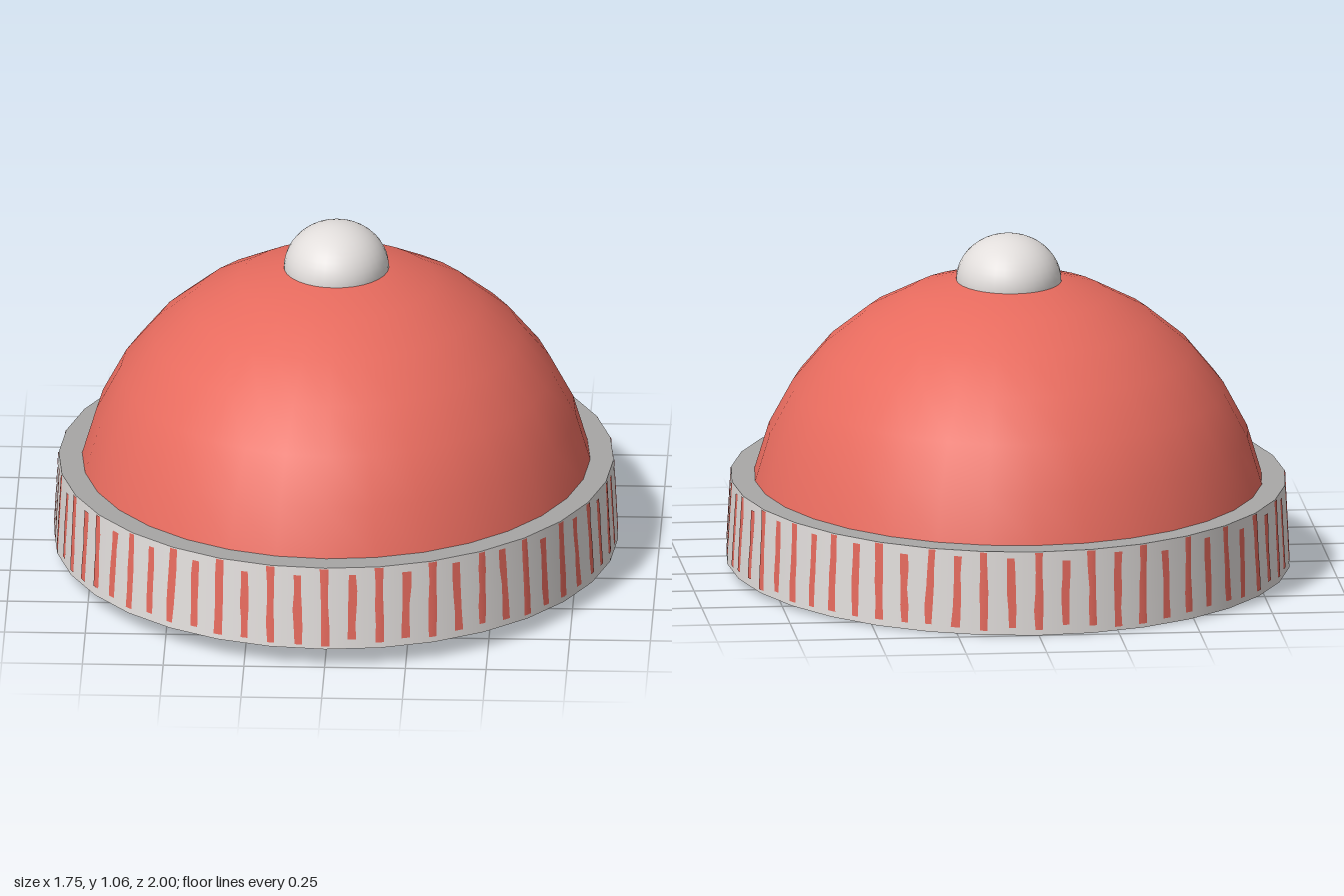
import * as THREE from 'three';

const SIDES = 32;          // facets around the hat
const STRIPES = 64;        // knitted ribs on the cuff
const DEPTH = 1.145;       // front-to-back stretch of the oval
const CUFF_H = 0.262;
const CUFF_LOW = 0.873;    // cuff radius at the bottom
const CUFF_TOP = 0.859;    // cuff radius at the top

function wool(name, color) {
  const material = new THREE.MeshStandardMaterial({ color, side: THREE.DoubleSide });
  material.name = name;
  return material;
}
const red = wool('red wool', 0xe96c5f);
const white = wool('white wool', 0xe2dedc);
const grey = wool('grey edge', 0xa8a7a6);

function lathe(name, points, material) {
  const geo = new THREE.LatheGeometry(points.map(([r, y]) => new THREE.Vector2(r, y)), SIDES);
  const mesh = new THREE.Mesh(geo, material);
  mesh.name = name;
  return mesh;
}

// Profile of a dome, from the rim up to the pole
function domeProfile(radius, centreY, steps, fromStep) {
  const pts = [];
  for (let i = fromStep; i >= 0; i--) {
    const a = (i / steps) * Math.PI / 2;
    pts.push([radius * Math.sin(a), centreY + radius * Math.cos(a)]);
  }
  return pts;
}

function seeded(seed) {
  return () => (seed = (seed * 16807) % 2147483647) / 2147483647;
}

// Point on the faceted wall at a given angle
function wallPoint(angle, radius, y) {
  const step = (Math.PI * 2) / SIDES;
  const k = Math.floor(angle / step + 1e-6);
  const t = angle / step - k;
  const a = k * step, b = a + step;
  return [
    radius * (Math.sin(a) * (1 - t) + Math.sin(b) * t), y,
    radius * (Math.cos(a) * (1 - t) + Math.cos(b) * t),
  ];
}

// Slightly wavering stripes on the outer or inner face of the cuff wall
function stripes(name, inward) {
  const rnd = seeded(71);
  const pos = [], index = [], rows = 5;
  for (let s = 0; s < STRIPES; s++) {
    const centre = (s / STRIPES) * Math.PI * 2;
    const long = s % 2 === 0;
    const low = 0.01 + rnd() * 0.02;
    const high = long ? CUFF_H - 0.003 : 0.23 + rnd() * 0.02;
    const lean = (rnd() - 0.5) * 0.018;
    const base = pos.length / 3;
    for (let j = 0; j < rows; j++) {
      const t = j / (rows - 1);
      const y = low + (high - low) * t;
      const r = CUFF_LOW + (CUFF_TOP - CUFF_LOW) * (y / CUFF_H) + (inward ? -0.002 : 0.002);
      const mid = centre + lean * (t - 0.5) + (rnd() - 0.5) * 0.004;
      const half = 0.0145 + (rnd() - 0.5) * 0.005;
      const cols = [mid - half, long ? centre : mid, mid + half];
      cols.forEach((a) => pos.push(...wallPoint(a, r, y)));
      if (j === 0) continue;
      for (let c = 0; c < 2; c++) {
        const a = base + (j - 1) * 3 + c, b = a + 1, d = a + 3, e = a + 4;
        if (inward) index.push(a, e, b, a, d, e);
        else index.push(a, b, e, a, e, d);
      }
    }
  }
  const geo = new THREE.BufferGeometry();
  geo.setAttribute('position', new THREE.Float32BufferAttribute(pos, 3));
  geo.setIndex(index);
  geo.computeVertexNormals();
  const mesh = new THREE.Mesh(geo, red);
  mesh.name = name;
  return mesh;
}

export function createModel() {
  const model = new THREE.Group();
  model.name = 'knittedHat';
  const hat = new THREE.Group();
  hat.name = 'tiltedHat';
  hat.scale.z = DEPTH;
  hat.rotation.x = -0.03;
  hat.position.y = 0.03;
  model.add(hat);

  // Crown: one open dome sheet, seen from both sides
  hat.add(lathe('crown', domeProfile(0.803, 0.102, 8, 7), red));

  // Hollow cuff: wall, top edge up to the crown, and bottom rim
  hat.add(lathe('cuffWall', [[CUFF_LOW, 0], [CUFF_TOP, CUFF_H]], white));
  hat.add(lathe('cuffTopEdge', [[CUFF_TOP, CUFF_H], [0.786, CUFF_H]], grey));
  hat.add(lathe('cuffBottomRim', [[0.8, 0], [CUFF_LOW, 0]], red));

  // Ribs on both faces of the cuff wall
  hat.add(stripes('outerStripes', false));
  hat.add(stripes('innerStripes', true));

  // Pompom
  const pompom = new THREE.Mesh(
    new THREE.SphereGeometry(0.163, SIDES, 12, 0, Math.PI * 2, 0, Math.PI / 2), white);
  pompom.name = 'pompom';
  pompom.scale.y = 0.143 / 0.163;
  pompom.position.y = 0.887;
  hat.add(pompom);

  return model;
}
